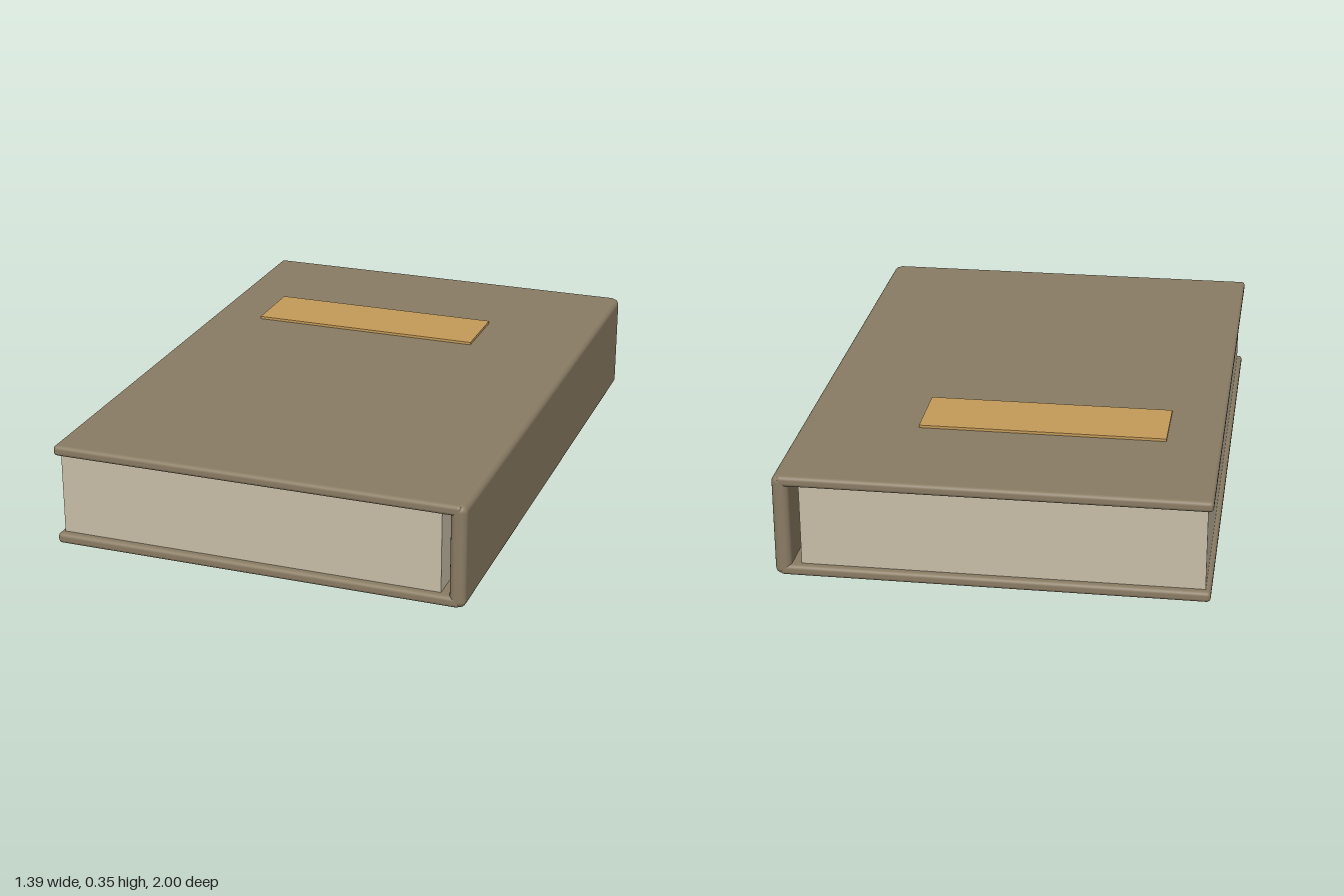
import * as THREE from 'three';
import { RoundedBoxGeometry } from 'three/addons/geometries/RoundedBoxGeometry.js';

const material = (name, color) => {
  const m = new THREE.MeshStandardMaterial({ color });
  m.name = name;
  return m;
};

export function createModel() {
  const book = new THREE.Group();
  book.name = 'book';

  const cloth = material('brown cloth', 0x8a7c64);
  const paper = material('cream paper', 0xc8bea8);
  const gilt = material('gold label', 0xc49b58);

  // Adds a block given by its limits on each axis; radius rounds its edges
  const block = (name, mat, [x0, x1], [y0, y1], [z0, z1], radius = 0) => {
    const size = [x1 - x0, y1 - y0, z1 - z0];
    const geometry = radius
      ? new RoundedBoxGeometry(...size, 4, radius)
      : new THREE.BoxGeometry(...size);
    const mesh = new THREE.Mesh(geometry, mat);
    mesh.name = name;
    mesh.position.set((x0 + x1) / 2, (y0 + y1) / 2, (z0 + z1) / 2);
    book.add(mesh);
  };

  // Boards and spine
  block('backCover', cloth, [-0.693, 0.677], [0, 0.035], [-1, 1], 0.013);
  block('frontCover', cloth, [-0.693, 0.677], [0.31, 0.345], [-1, 1], 0.013);
  block('spine', cloth, [0.64, 0.693], [0, 0.345], [-1, 1], 0.022);

  // Page block, set in from the boards with a gap at the spine
  block('pages', paper, [-0.676, 0.61], [0.03, 0.315], [-0.975, 0.975]);

  // Blank title plate
  block('titlePlate', gilt, [-0.513, 0.302], [0.3445, 0.354], [-0.563, -0.325]);

  return book;
}
